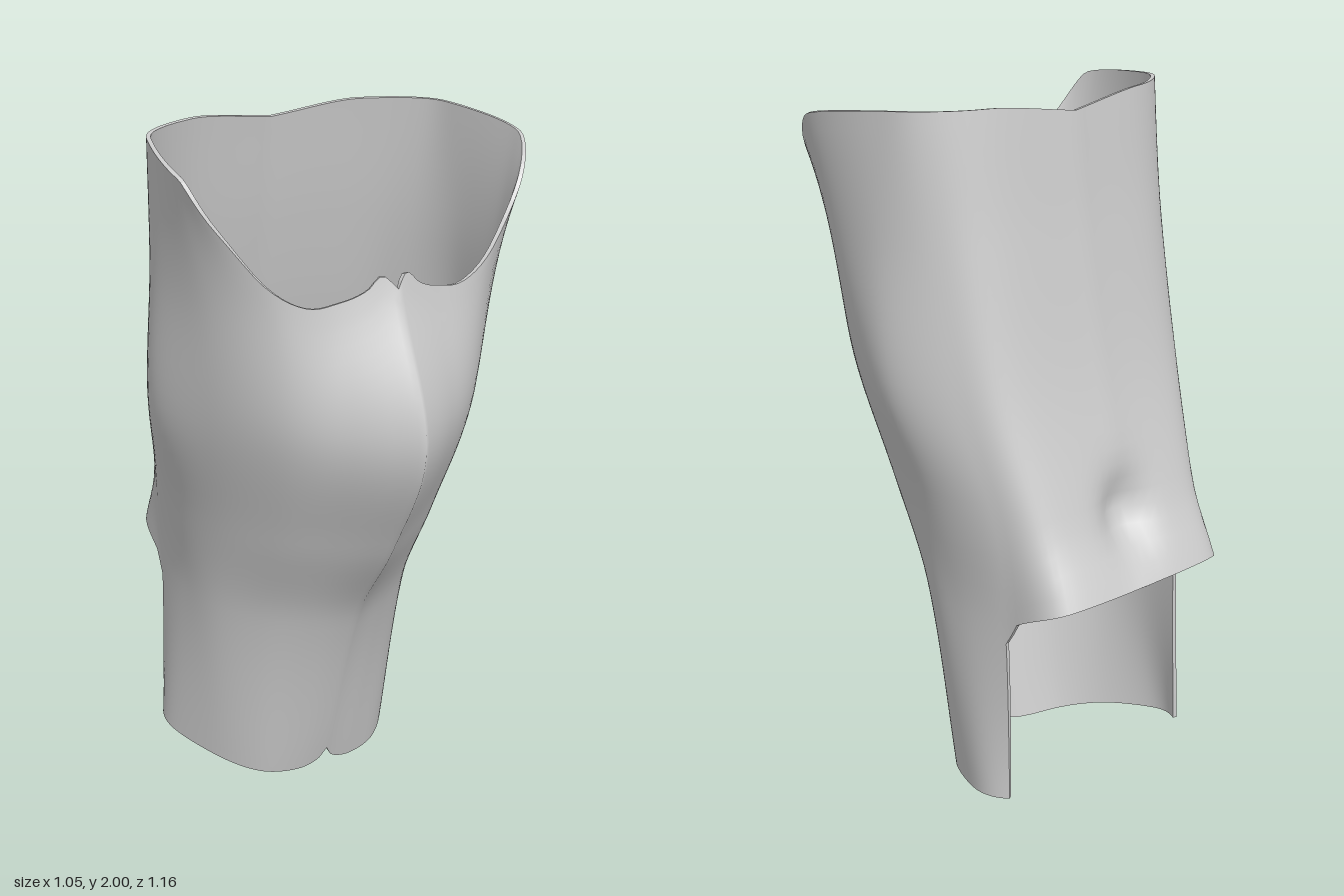
import * as THREE from 'three';

// Half cross-sections: height, then (x, z) from front centre round the side to back centre
const SECTIONS = [
  [0.00, [[0, .05], [.10, .045], [.21, 0], [.30, -.11], [.37, -.29], [.345, -.385], [.25, -.42], [0, -.46]]],
  [0.60, [[0, .24], [.12, .19], [.24, .10], [.33, -.03], [.355, -.18], [.34, -.36], [.29, -.57], [0, -.61]]],
  [0.90, [[0, .43], [.13, .34], [.26, .23], [.36, .06], [.40, -.14], [.36, -.34], [.27, -.465], [0, -.49]]],
  [1.25, [[0, .58], [.15, .47], [.30, .35], [.42, .16], [.485, -.05], [.41, -.24], [.29, -.35], [0, -.385]]],
  [1.65, [[0, .43], [.15, .385], [.34, .35], [.46, .22], [.485, 0], [.42, -.17], [.28, -.27], [0, -.305]]],
  [2.00, [[0, .36], [.20, .36], [.49, .345], [.53, .22], [.49, 0], [.43, -.13], [.27, -.22], [0, -.255]]],
];

// Edge heights against position round the section (0 front, 7 back)
const TOP = [[0, 1.65], [.25, 1.685], [.55, 1.65], [1, 1.625], [1.5, 1.62], [2, 1.69], [2.4, 1.83], [3, 1.96], [6, 2], [7, 1.97]];
const BOTTOM = [[0, .06], [.25, .02], [1, 0], [2, .008], [4, .065], [5, .08]];
const LIP = [[0, .56], [5, .56], [5.2, .63], [6, .7], [7, .71]];
const BACK = 7;
const OPENING = 5;      // where the rear opening starts
const THICKNESS = 0.012;

// Smooth curve through [position, value] pairs
function smooth(points, t) {
  const last = points.length - 1;
  let i = 0;
  while (i < last - 1 && t > points[i + 1][0]) i++;
  const slope = (k) => {
    const a = points[Math.max(k - 1, 0)], b = points[Math.min(k + 1, last)];
    return (b[1] - a[1]) / (b[0] - a[0]);
  };
  const [x0, y0] = points[i], [x1, y1] = points[i + 1];
  const h = x1 - x0, s = (t - x0) / h, s2 = s * s, s3 = s2 * s;
  return y0 * (2 * s3 - 3 * s2 + 1) + h * slope(i) * (s3 - 2 * s2 + s)
    + y1 * (3 * s2 - 2 * s3) + h * slope(i + 1) * (s3 - s2);
}

// Point on the half shell, with a small hollow above the middle of the rear lip
function surfacePoint(u, y) {
  const [x, z] = [0, 1].map((axis) => smooth(
    SECTIONS.map(([level, pts]) => [level, smooth(pts.map((p, i) => [i, p[axis]]), u)]), y));
  const hollow = u > 6 ? 0.07 * Math.exp(-((x / 0.08) ** 2) - ((y - 0.88) / 0.1) ** 2) : 0;
  return [x, z + hollow];
}

function geometry(position, index) {
  const g = new THREE.BufferGeometry();
  g.setAttribute('position', new THREE.Float32BufferAttribute(position, 3));
  g.setIndex(index);
  g.computeVertexNormals();
  return g;
}

// Outer skin: a ring of columns, the lower rows left open at the back
function skin() {
  const perUnit = 10, half = BACK * perUnit, columns = half * 2, low = 12, high = 28;
  const rows = low + high + 1, position = [], index = [];
  for (let c = 0; c < columns; c++) {
    const signed = (c - half) / perUnit, u = Math.abs(signed), side = Math.sign(signed);
    const lip = smooth(LIP, u), top = smooth(TOP, u);
    const bottom = u > OPENING ? lip : smooth(BOTTOM, u);
    for (let r = 0; r < rows; r++) {
      const y = r < low ? THREE.MathUtils.lerp(bottom, lip, r / low)
        : THREE.MathUtils.lerp(lip, top, (r - low) / high);
      const [x, z] = surfacePoint(u, y);
      position.push(side * x, y, z);
    }
  }
  for (let c = 0; c < columns; c++) {
    const middle = Math.abs((c + 0.5 - half) / perUnit);
    for (let r = middle > OPENING ? low : 0; r < rows - 1; r++) {
      const a = c * rows + r, b = ((c + 1) % columns) * rows + r;
      index.push(a, b, b + 1, a, b + 1, a + 1);
    }
  }
  return geometry(position, index);
}

// Inner skin: the outer one moved inward and turned over
function lining(outer) {
  const p = outer.attributes.position.array, n = outer.attributes.normal.array;
  const position = Array.from(p, (v, i) => v - n[i] * THICKNESS);
  return geometry(position, Array.from(outer.index.array).reverse());
}

// Narrow band joining both skins along every open edge
function rim(outer, inner) {
  const tri = outer.index.array, edges = new Set(), position = [], index = [];
  const next = (i) => (i % 3 === 2 ? i - 2 : i + 1);
  for (let i = 0; i < tri.length; i++) edges.add(tri[i] + '_' + tri[next(i)]);
  const place = new THREE.Vector3();
  for (let i = 0; i < tri.length; i++) {
    const a = tri[i], b = tri[next(i)];
    if (edges.has(b + '_' + a)) continue;
    const k = position.length / 3;
    for (const [g, v] of [[outer, a], [outer, b], [inner, b], [inner, a]]) {
      position.push(...place.fromBufferAttribute(g.attributes.position, v).toArray());
    }
    index.push(k, k + 2, k + 1, k, k + 3, k + 2);
  }
  return geometry(position, index);
}

export function createModel() {
  const group = new THREE.Group();
  group.name = 'limbGuard';
  const material = new THREE.MeshStandardMaterial({ color: 0xcccccc, side: THREE.DoubleSide });
  const add = (name, g) => {
    const mesh = new THREE.Mesh(g, material);
    mesh.name = name;
    group.add(mesh);
  };
  const outer = skin(), inner = lining(outer);
  add('outerShell', outer);
  add('innerLining', inner);
  add('edgeRim', rim(outer, inner));
  return group;
}
